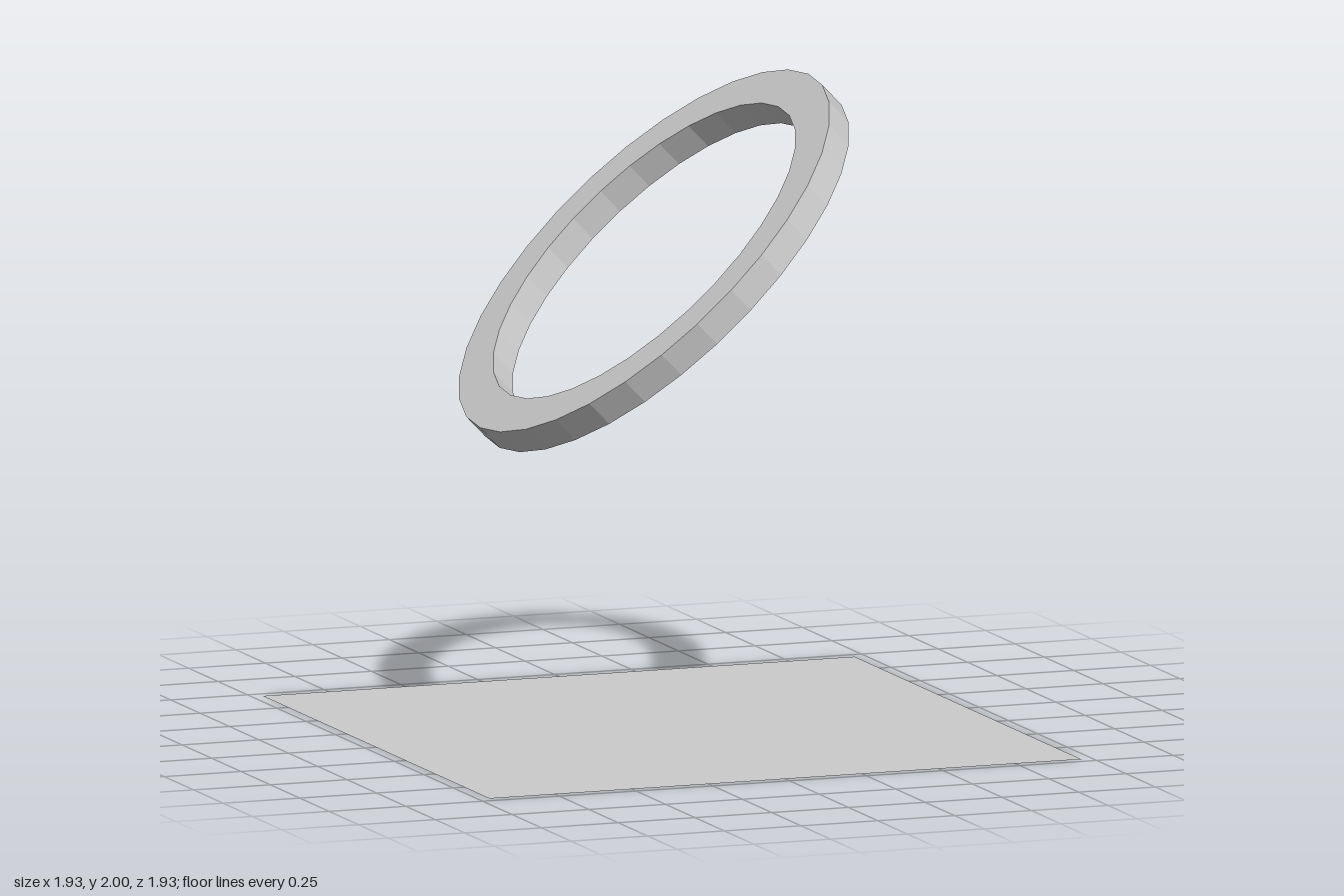
import * as THREE from 'three';

export function createModel() {
  const model = new THREE.Group();

  // Flat square ground sheet
  const sheet = new THREE.Mesh(
    new THREE.PlaneGeometry(1.928, 1.928).rotateX(-Math.PI / 2),
    new THREE.MeshStandardMaterial({ color: 0xcccccc, side: THREE.DoubleSide })
  );
  sheet.name = 'groundSheet';
  model.add(sheet);

  // Tilted floating ring: rectangular section swept in 32 facets
  const inner = 0.604, outer = 0.741, half = 0.046;
  const section = [
    [inner, -half], [outer, -half], [outer, half], [inner, half], [inner, -half],
  ].map(([x, y]) => new THREE.Vector2(x, y));
  const ring = new THREE.Mesh(
    new THREE.LatheGeometry(section, 32),
    new THREE.MeshStandardMaterial({ color: 0xcccccc, flatShading: true })
  );
  ring.name = 'ring';
  ring.position.set(-0.08, 1.456, 0.055);
  ring.rotation.z = THREE.MathUtils.degToRad(43.8);
  model.add(ring);

  return model;
}
